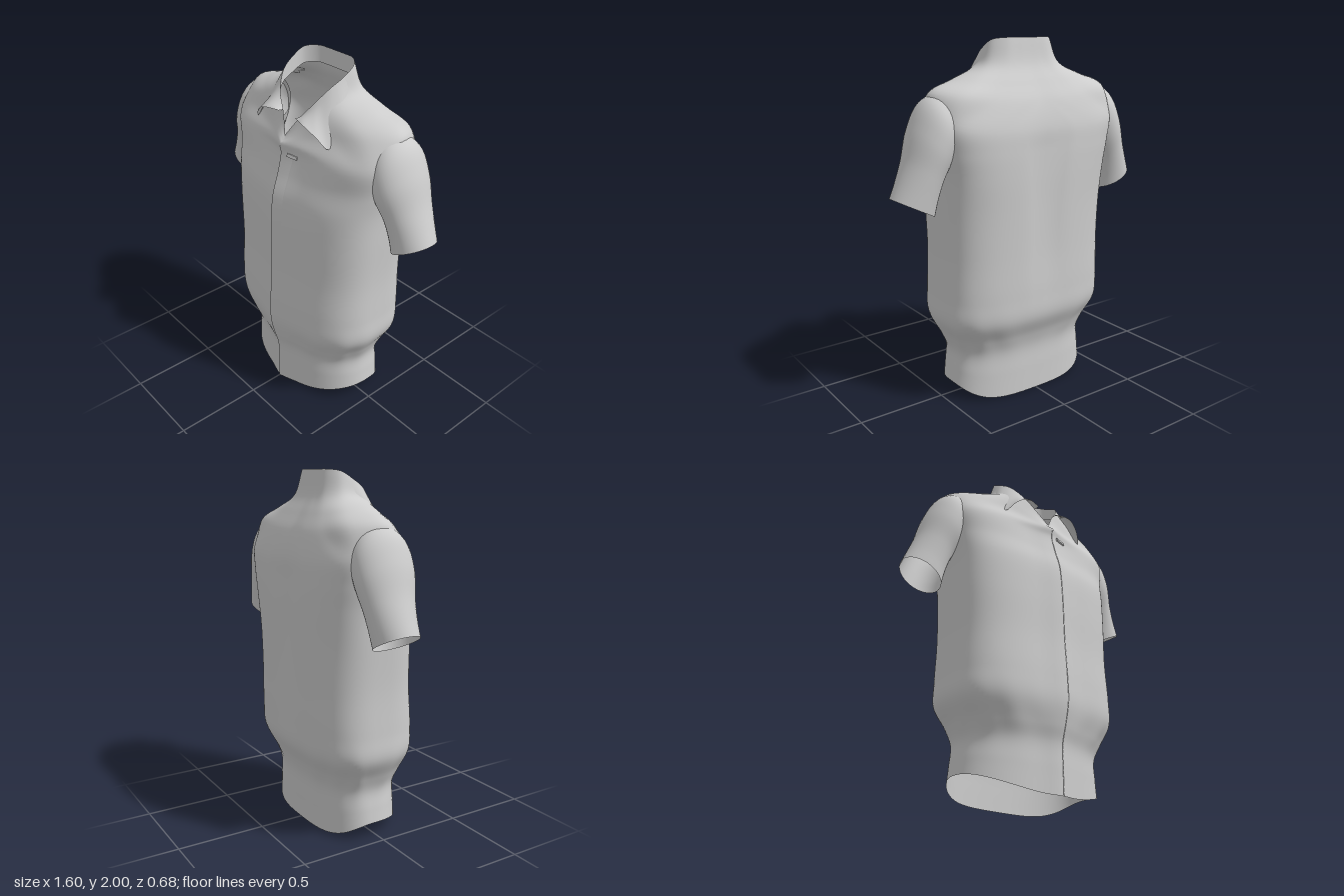
import * as THREE from 'three';

const V = (x, y, z) => new THREE.Vector3(x, y, z);
const curveOf = (list) => new THREE.CatmullRomCurve3(list.map((p) => V(...p)));
const { smoothstep } = THREE.MathUtils;
const cloth = new THREE.MeshStandardMaterial({ color: 0xcccccc, side: THREE.DoubleSide });
cloth.name = 'light grey cloth';

// Surface through rows of points, optionally closed around each row
function sheet(name, rows, closed) {
  const n = rows[0].length, pos = [], idx = [];
  rows.forEach((r) => r.forEach((p) => pos.push(p.x, p.y, p.z)));
  for (let i = 0; i < rows.length - 1; i++) {
    for (let j = 0; j < (closed ? n : n - 1); j++) {
      const a = i * n + j, b = i * n + ((j + 1) % n);
      idx.push(a, b, b + n, a, b + n, a + n);
    }
  }
  const g = new THREE.BufferGeometry();
  g.setAttribute('position', new THREE.Float32BufferAttribute(pos, 3));
  g.setIndex(idx);
  g.computeVertexNormals();
  const m = new THREE.Mesh(g, cloth);
  m.name = name;
  return m;
}

// Smooth loft: a curve runs through the matching points of every ring
function loft(rings, steps) {
  const lines = rings[0].map((_, j) => new THREE.CatmullRomCurve3(rings.map((r) => r[j])));
  const rows = [];
  for (let i = 0; i <= steps; i++) rows.push(lines.map((c) => c.getPoint(i / steps)));
  return rows;
}

const N = 96; // columns around the torso

// Mirror a half outline (front centre to back centre) into a closed ring
function ring(half) {
  const out = [];
  for (let j = 0; j < N; j++) {
    const t = (2 * j) / N;
    const p = half(t <= 1 ? t : 2 - t);
    if (t > 1) p.x *= -1;
    out.push(p);
  }
  return out;
}

// Rounded torso section: height, half width, front, back, spine groove, gathers, side lift
function section([y, w, zf, zb, groove = 0, ripple = 0, lift = 0]) {
  const mid = -0.02;
  const nFront = 2.2 + 0.6 * smoothstep(y, 0.2, 0.6);
  const nBack = 2.6 + 0.5 * smoothstep(y, 0.2, 0.6) + 0.7 * smoothstep(y, 1.1, 1.45);
  return ring((t) => {
    const a = Math.PI * t, s = Math.max(0, Math.sin(a)), c = Math.cos(a);
    const n = c > 0 ? nFront : nBack;
    const x = w * Math.pow(s, 2 / n);
    let z = mid + ((c > 0 ? zf : zb) - mid) * Math.pow(Math.abs(c), 2 / n);
    // front edge ridge and spine groove
    z += (c > 0 ? 0.025 : groove) * Math.exp(-((x / 0.08) ** 2));
    const f = 1 + ripple * Math.sin(a * 14);
    return V(x * f, y + lift * Math.pow(x / w, c > 0 ? 2 : 5), z * f);
  });
}

// Neck opening, a V at the front and a raised back
const neckCurve = curveOf([[0, 1.63, 0.205], [0.06, 1.725, 0.165], [0.13, 1.815, 0.128], [0.183, 1.9, 0.06],
  [0.202, 1.95, -0.02], [0.192, 1.99, -0.09], [0.13, 2, -0.14], [0.06, 2, -0.148], [0, 2, -0.148]]);
const neckRing = ring((t) => neckCurve.getPoint(t));

const shoulderCurve = curveOf([[0, 1.59, 0.238], [0.13, 1.63, 0.185], [0.28, 1.67, 0.135], [0.46, 1.71, 0.07],
  [0.565, 1.73, -0.07], [0.48, 1.715, -0.22], [0.31, 1.69, -0.27], [0.15, 1.68, -0.285], [0, 1.68, -0.278]]);

// Hem, gathered waistband, body, chest
const sections = [
  [0, 0.45, 0.263, -0.243, 0, 0, 0.09],
  [0.14, 0.44, 0.262, -0.243, 0, 0, 0.03],
  [0.27, 0.43, 0.263, -0.245, 0, 0.003],
  [0.36, 0.46, 0.287, -0.27, 0, 0.009],
  [0.48, 0.518, 0.312, -0.322, 0, 0.003],
  [0.62, 0.516, 0.31, -0.33, 0.005],
  [0.85, 0.51, 0.295, -0.332, 0.02],
  [1.1, 0.52, 0.287, -0.336, 0.028],
  [1.3, 0.53, 0.27, -0.338, 0.028],
  [1.43, 0.55, 0.23, -0.336, 0.024],
  [1.54, 0.57, 0.205, -0.328, 0.012, 0, 0.05],
];

function torsoRows() {
  const shoulder = ring((t) => shoulderCurve.getPoint(t));
  // Collar base: the neck opening widened and dropped towards the back
  const base = neckRing.map((p) => {
    const k = Math.max(0, (p.y - 1.75) / 0.25) ** 2;
    return V(p.x * 1.22, p.y - 0.01 - 0.125 * k, p.z - 0.03 * k);
  });
  const yoke = shoulder.map((p, j) => p.clone().lerp(base[j], 0.5));
  return loft([...sections.map(section), shoulder, yoke, base, neckRing], 90);
}

// Short sleeve: rings from hem to shoulder, each from an outer and an inner point
function sleeve(s) {
  const spec = [
    [0.802, 1.215, 0.575, 1.1, -0.077, 0.12],
    [0.765, 1.3, 0.56, 1.18, -0.08, 0.128],
    [0.725, 1.4, 0.53, 1.28, -0.08, 0.143],
    [0.675, 1.56, 0.49, 1.36, -0.075, 0.168],
    [0.6, 1.695, 0.46, 1.42, -0.075, 0.165],
    [0.48, 1.75, 0.42, 1.5, -0.075, 0.12],
  ];
  const rings = spec.map(([ox, oy, ix, iy, zc, zh]) => {
    const r = [];
    for (let j = 0; j < 40; j++) {
      const a = (j / 40) * Math.PI * 2, k = (1 - Math.cos(a)) / 2;
      r.push(V(s * (ox + (ix - ox) * k), oy + (iy - oy) * k, zc - s * zh * Math.sin(a)));
    }
    return r;
  });
  return sheet(s > 0 ? 'leftSleeve' : 'rightSleeve', loft(rings, 30), true);
}

// Folded collar wing: free lower edge, then a side that sinks into the yoke
function collarWing(s) {
  const outer = curveOf([[0.07, 1.742, 0.195], [0.16, 1.737, 0.217], [0.235, 1.695, 0.2],
    [0.286, 1.635, 0.16], [0.285, 1.7, 0.1], [0.275, 1.77, 0.045], [0.24, 1.85, -0.03]]);
  const rows = [];
  for (let i = 0; i <= 8; i++) {
    const k = i / 8, row = [];
    for (let j = 0; j <= 36; j++) {
      const u = j / 36;
      const p = outer.getPoint(u).lerp(neckCurve.getPoint(0.14 + 0.36 * u), k);
      p.z += 0.012 * (1 - u) * Math.sin(Math.PI * k);
      p.x *= s;
      row.push(p);
    }
    rows.push(s > 0 ? row : row.reverse());
  }
  return sheet(s > 0 ? 'leftCollarWing' : 'rightCollarWing', rows, false);
}

export function createModel() {
  const shirt = new THREE.Group();
  shirt.name = 'shirt';
  const rows = torsoRows();
  shirt.add(sheet('torso', rows, true));

  // Overlapping front edge
  const strip = rows.filter((r) => r[0].y < 1.58).map((r) => [
    r[0].clone(),
    r[0].clone().add(V(0, 0, 0.006)),
    r[1].clone().add(V(0, 0, -0.001)),
  ]);
  shirt.add(sheet('placket', strip, false));

  // Inner collar stand
  const stand = neckRing.map((p) => {
    const k = smoothstep(p.y, 1.75, 1.98);
    return V(p.x * (1 - 0.03 * k), p.y - 0.09 * k, p.z + 0.008 * k);
  });
  shirt.add(sheet('collarStand', [stand, neckRing], true));

  for (const s of [1, -1]) shirt.add(sleeve(s), collarWing(s));

  // Small chest tab
  const tab = new THREE.Mesh(new THREE.BoxGeometry(0.065, 0.018, 0.009), cloth);
  tab.name = 'chestTab';
  tab.position.set(0.075, 1.535, 0.222);
  tab.rotation.set(-0.3, 0.2, 0);
  shirt.add(tab);
  return shirt;
}
